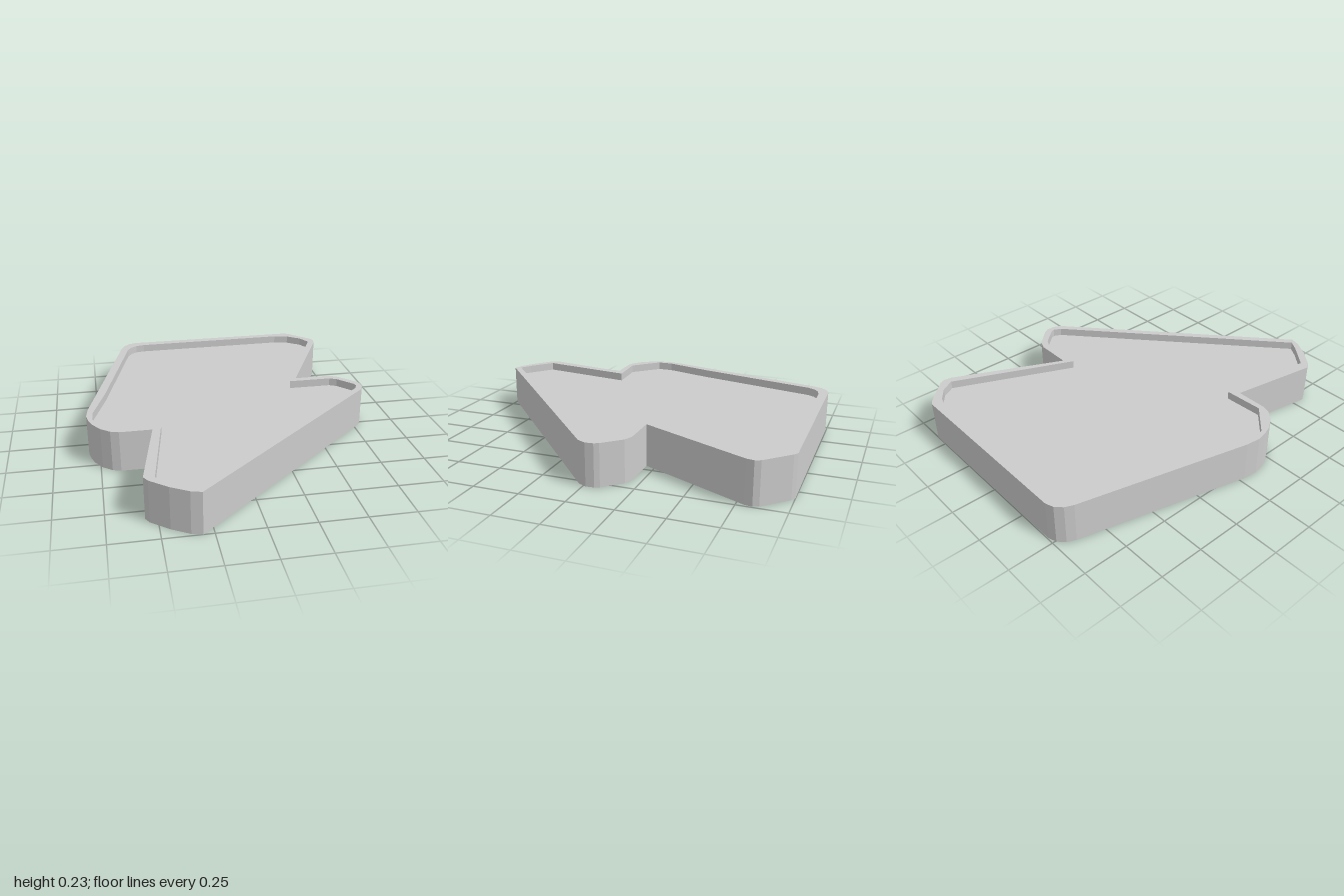
import * as THREE from 'three';

const HEIGHT = 0.23;
const RECESS = 0.045;

// Outlines as [x, z] corners
const OUTER = [
  [-0.46, -0.995], [0.58, -1], [0.605, -0.985], [0.73, -0.86], [0.742, -0.83], [0.735, -0.79],
  [0.45, -0.2], [0.65, -0.2], [0.7, -0.18], [0.79, -0.085], [0.803, -0.06], [0.806, -0.015],
  [0.785, 0.03], [-0.305, 1], [-0.36, 0.985], [-0.45, 0.93], [-0.54, 0.855], [-0.56, 0.82],
  [-0.47, 0.335], [-0.645, 0.335], [-0.69, 0.32], [-0.74, 0.28], [-0.78, 0.22], [-0.8, 0.165],
  [-0.81, 0.11], [-0.8, 0.03], [-0.56, -0.9], [-0.54, -0.945], [-0.505, -0.98],
];
const INNER = [
  [-0.41, -0.945], [0.5, -0.955], [0.585, -0.935], [0.66, -0.88], [0.7, -0.81], [0.405, -0.16],
  [0.65, -0.16], [0.69, -0.14], [0.765, -0.055], [0.775, -0.03], [0.755, 0.01], [-0.325, 0.97],
  [-0.385, 0.93], [-0.505, 0.83], [-0.495, 0.77], [-0.42, 0.295], [-0.635, 0.305],
  [-0.775, 0.165], [-0.775, 0.08], [-0.695, -0.18], [-0.52, -0.87], [-0.495, -0.91], [-0.46, -0.935],
];

const toPoints = (outline) => outline.map(([x, z]) => new THREE.Vector2(x, -z));

export function createModel() {
  const group = new THREE.Group();
  group.name = 'boltTray';
  const material = new THREE.MeshStandardMaterial({ color: 0xcccccc });

  const add = (name, geometry, y = 0) => {
    const mesh = new THREE.Mesh(geometry, material);
    mesh.name = name;
    mesh.position.y = y;
    group.add(mesh);
  };

  // Full-height rim; the hole runs against the outline so its walls face inward
  const rimShape = new THREE.Shape(toPoints(OUTER));
  rimShape.holes.push(new THREE.Path(toPoints(INNER).reverse()));
  add('rim', new THREE.ExtrudeGeometry(rimShape, { depth: HEIGHT, bevelEnabled: false }).rotateX(-Math.PI / 2));

  // Recessed face on the top
  const panel = new THREE.Shape(toPoints(INNER));
  add('topPanel', new THREE.ShapeGeometry(panel).rotateX(-Math.PI / 2), HEIGHT - RECESS);

  // Recessed face on the underside, turned to face down
  const under = new THREE.ShapeGeometry(panel).rotateX(-Math.PI / 2);
  under.index.array.reverse();
  under.computeVertexNormals();
  add('bottomPanel', under, RECESS);

  return group;
}
